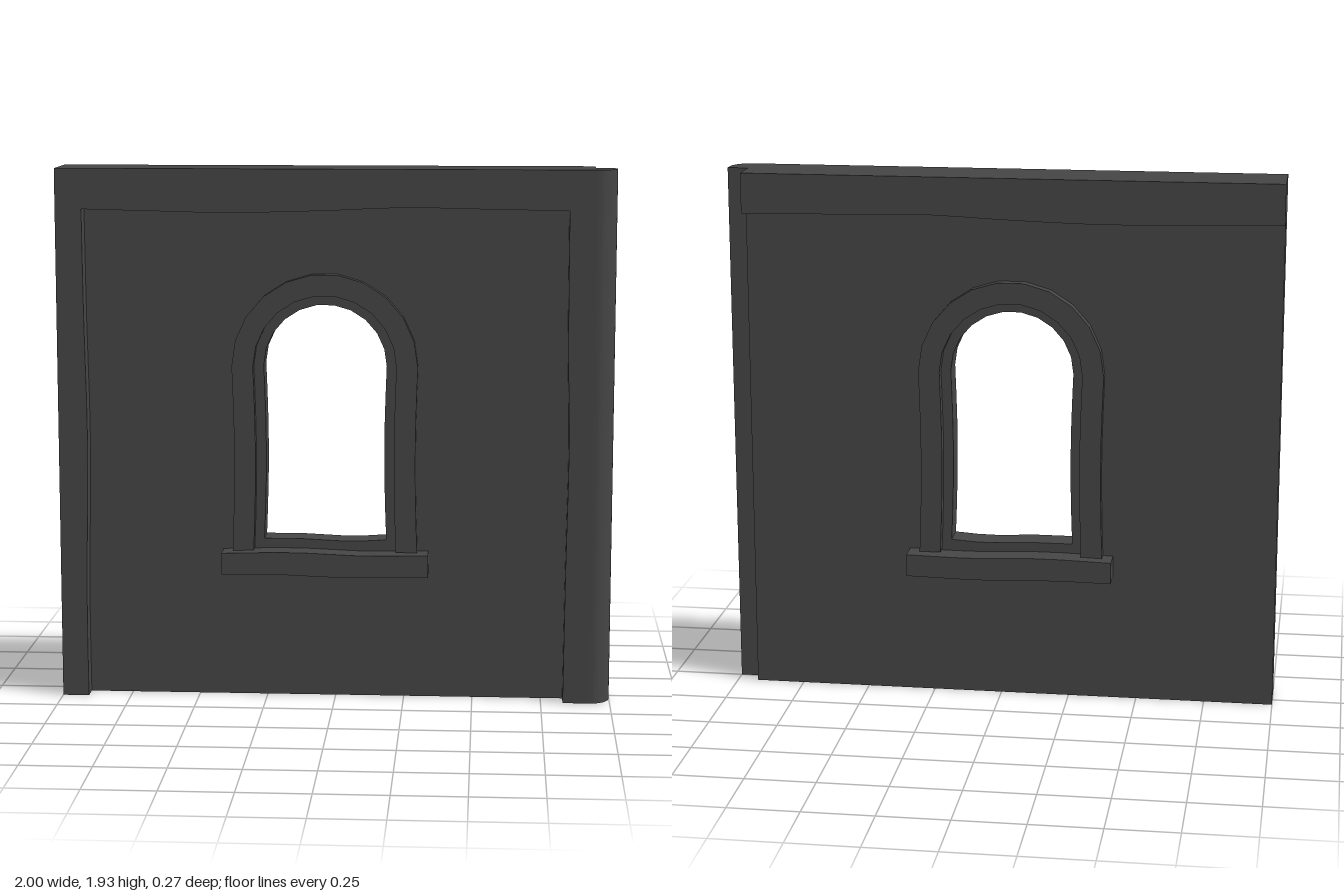
import * as THREE from 'three';
import { toCreasedNormals } from 'three/addons/utils/BufferGeometryUtils.js';

const H = 1.93, CX = -0.038, SPRING = 1.22, BACK = -0.05, FRONT = 0.05, END = 0.925;
const material = new THREE.MeshStandardMaterial({ color: 0x454545 });
const v = (x, y) => new THREE.Vector2(x, y);

function add(group, name, geometry) {
  const mesh = new THREE.Mesh(toCreasedNormals(geometry, 0.6), material);
  mesh.name = name;
  group.add(mesh);
}

// Outline in the front plane, extruded from z0 to z1
function slab(points, z0, z1, hole) {
  const shape = new THREE.Shape(points);
  if (hole) shape.holes.push(new THREE.Path(hole));
  const g = new THREE.ExtrudeGeometry(shape, { depth: z1 - z0, bevelEnabled: false });
  return g.translate(0, 0, z0);
}

// Hand-worn edge through a few control points
const worn = (points, n = 12) => new THREE.SplineCurve(points.map(p => v(...p))).getPoints(n);

// Round-headed opening outline, from bottom right over the arch to bottom left
function arch(r, bottom) {
  const right = [], head = [], left = [];
  for (let i = 0; i < 6; i++) {
    const t = i / 6, y = bottom + (SPRING - bottom) * t;
    const w = r - 0.008 * Math.sin(Math.PI * t);
    right.push(v(CX + w, y));
    left.unshift(v(CX - w, y));
  }
  for (let i = 0; i <= 11; i++) {
    const a = Math.PI * i / 11;
    head.push(v(CX + r * Math.cos(a), SPRING + r * Math.sin(a)));
  }
  return [...right, ...head, ...left];
}

export function createModel() {
  const group = new THREE.Group();
  group.name = 'wallWithArchedWindow';

  // Wall panel pierced by the window
  const opening = [...arch(0.222, 0.584), v(-0.12, 0.584), v(0.03, 0.577), v(0.1, 0.578)];
  add(group, 'wallPanel', slab([v(-1, 0), v(END, 0), v(END, H), v(-1, H)], BACK, FRONT, opening));

  // Raised border on the front: left stile, top rail, right stile
  const railEdge = [[-0.905, 1.785], [-0.6, 1.778], [-0.35, 1.774], [0, 1.784], [0.25, 1.795], [0.55, 1.79], [0.83, 1.786]];
  const leftEdge = worn([[-0.905, 0], [-0.906, 0.4], [-0.895, 0.92], [-0.902, 1.4], [-0.905, 1.785]]);
  const rightEdge = worn([[0.83, 1.786], [0.832, 1.3], [0.84, 0.95], [0.834, 0.5], [0.83, 0]]);
  add(group, 'frontBorder', slab([
    v(-1, 0), ...leftEdge, ...worn(railEdge).slice(1), ...rightEdge.slice(1),
    v(END, 0), v(END, H), v(-1, H),
  ], FRONT, 0.115));

  // Rounded corner post at the right end, profile extruded upward
  const profile = new THREE.Shape();
  profile.moveTo(END, 0);
  profile.lineTo(END, -0.115);
  profile.lineTo(0.93, -0.115);
  profile.absellipse(0.93, -0.035, 0.07, 0.08, -Math.PI / 2, 0, false);
  profile.lineTo(1, 0);
  const post = new THREE.ExtrudeGeometry(profile, { depth: H, bevelEnabled: false, curveSegments: 8 });
  add(group, 'cornerPost', post.rotateX(-Math.PI / 2));

  // Beam along the top of the back
  const beamEdge = railEdge.map(([x, y], i) => [i === 0 ? -1 : i === 6 ? END : x, y]);
  add(group, 'backBeam', slab([...worn(beamEdge), v(END, H), v(-1, H)], -0.122, BACK));

  // Arched trim and sill on both faces
  const trim = [...arch(0.335, 0.545), ...arch(0.258, 0.545).reverse()];
  const sill = [
    ...worn([[-0.41, 0.465], [-0.2, 0.467], [0.05, 0.459], [0.338, 0.464]], 8),
    ...worn([[0.338, 0.545], [0.1, 0.541], [-0.15, 0.55], [-0.41, 0.544]], 8),
  ];
  for (const [side, s] of [['front', 1], ['back', -1]]) {
    const layer = (points, depth) => s > 0 ? slab(points, FRONT, depth) : slab(points, -depth, BACK);
    add(group, side + 'WindowTrim', layer(trim, 0.09));
    add(group, side + 'WindowSill', layer(sill, 0.137));
  }
  return group;
}
